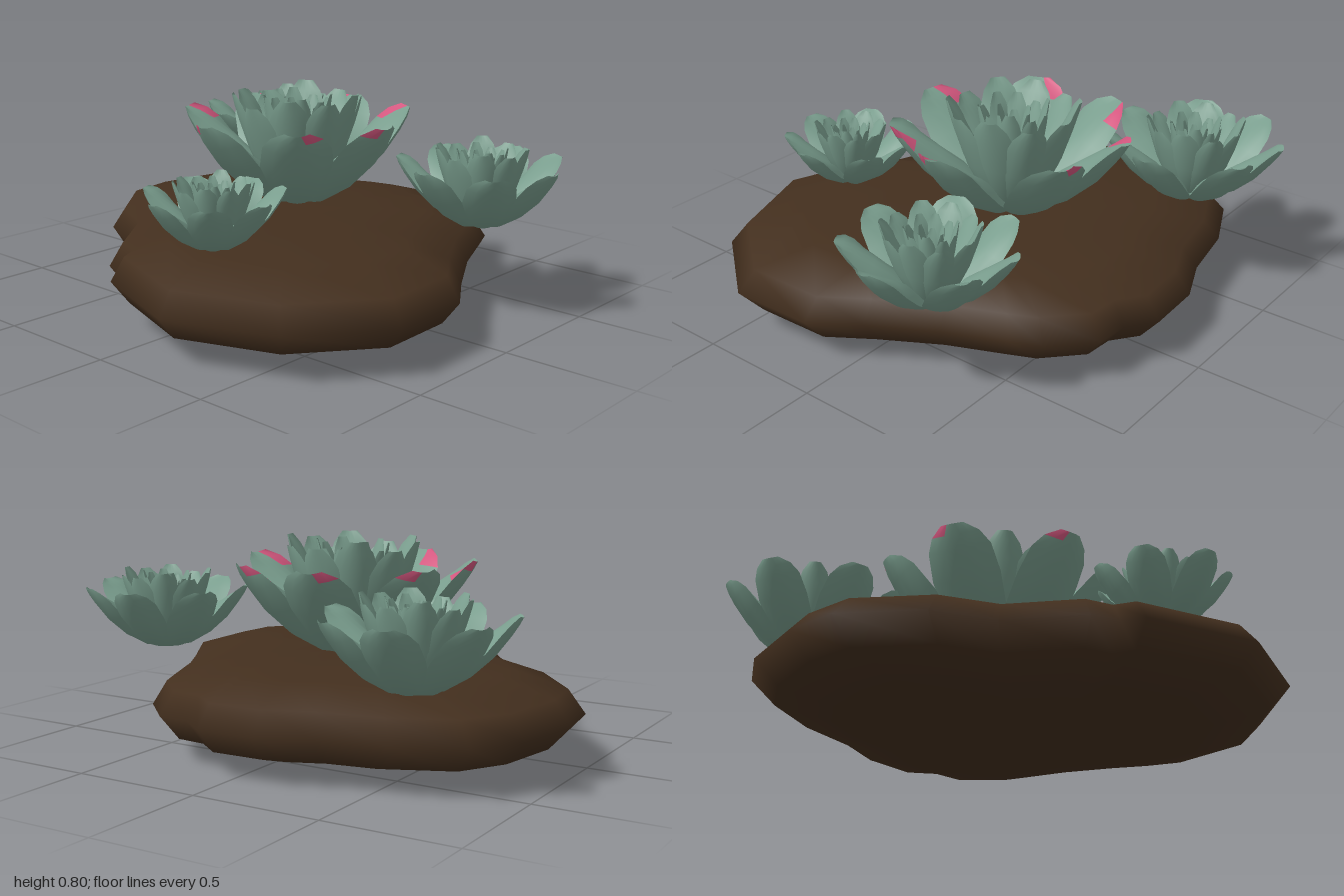
import * as THREE from 'three';

const leafGreen = new THREE.MeshStandardMaterial({ color: 0x7a9e8e });
leafGreen.name = 'leafGreen';
const tipPink = new THREE.MeshStandardMaterial({ color: 0xd4577f });
tipPink.name = 'tipPink';
const soilBrown = new THREE.MeshStandardMaterial({ color: 0x432f1e });
soilBrown.name = 'soilBrown';

// Leaf cross-sections from base to tip: shares of reach, height, half width and thickness
const SECTIONS = [
  [0.04, 0, 0.3, 0], [0.28, 0.06, 0.6, 0.5], [0.53, 0.25, 0.9, 0.82], [0.74, 0.5, 1, 0.72],
  [0.89, 0.76, 0.92, 0.45], [0.96, 0.9, 0.7, 0.22], [1, 1, 0.33, 0],
];
const COLS = 6;

function geometryFrom(positions, index) {
  const g = new THREE.BufferGeometry();
  g.setAttribute('position', new THREE.Float32BufferAttribute(positions, 3));
  g.setIndex(index);
  g.computeVertexNormals();
  return g;
}

// Thick, fleshy leaf: a steep rounded underside and a shallow domed upper face meeting at a sharp rim
function leafGeometry(reach, height, halfWidth, pinkSide = 0) {
  const positions = [], green = [], pink = [];
  const rows = SECTIONS.length;
  for (const top of [0, 1]) {
    const start = positions.length / 3;
    for (let i = 0; i < rows; i++) {
      const [fr, fy, fw, ft] = SECTIONS[i];
      const before = SECTIONS[Math.max(i - 1, 0)], after = SECTIONS[Math.min(i + 1, rows - 1)];
      const tx = (after[0] - before[0]) * reach, ty = (after[1] - before[1]) * height;
      const len = Math.hypot(tx, ty), w = halfWidth * fw;
      for (let j = 0; j <= COLS; j++) {
        const s = j / COLS * 2 - 1;
        const lift = 0.38 * w * s * s + top * ft * halfWidth * (1 - s * s);
        positions.push(fr * reach - ty / len * lift, fy * height + tx / len * lift, w * s);
      }
    }
    // The blush covers one corner of the tip
    const pinkRow = top ? rows - 3 : rows - 2;
    for (let i = 0; i < rows - 1; i++) {
      for (let j = 0; j < COLS; j++) {
        const a = start + i * (COLS + 1) + j, b = a + COLS + 1;
        const onSide = pinkSide * (j + 0.5 - COLS / 2) > 1;
        const list = i >= pinkRow && onSide ? pink : green;
        if (top) list.push(a, a + 1, b, b, a + 1, b + 1);
        else list.push(a, b, a + 1, b, b + 1, a + 1);
      }
    }
  }
  const g = geometryFrom(positions, [...green, ...pink]);
  g.addGroup(0, green.length, 0);
  if (pink.length) g.addGroup(green.length, pink.length, 1);
  return g;
}

const evenAngles = (count, offset) =>
  Array.from({ length: count }, (_, i) => offset + i * 360 / count);

// Leaf rings from the outside in
const RINGS = [
  { name: 'outerLeaf', angles: [3, 48, 97, 156, 206, 258, 301], reach: 0.475, height: 0.36, width: 0.14 },
  { name: 'middleLeaf', angles: evenAngles(10, 20), reach: 0.26, height: 0.43, width: 0.09 },
  { name: 'innerLeaf', angles: evenAngles(10, 5), reach: 0.14, height: 0.42, width: 0.05 },
  { name: 'heartLeaf', angles: evenAngles(6, 25), reach: 0.07, height: 0.4, width: 0.035 },
];
const PINK_SIDES = [1, -1, 1, 1, 1, -1, -1];

function rosette(name, x, y, z, scale, pinkTips = false) {
  const group = new THREE.Group();
  group.name = name;
  RINGS.forEach((ring, r) => {
    ring.angles.forEach((angle, i) => {
      const side = pinkTips && r === 0 ? PINK_SIDES[i] : 0;
      // Alternate the height a little so that the rings look natural
      const height = ring.height * (r === 0 ? 1 : 1 + 0.05 * Math.sin(i * 2.3));
      const leaf = new THREE.Mesh(
        leafGeometry(ring.reach, height, ring.width, side), [leafGreen, tipPink]);
      leaf.name = ring.name;
      leaf.rotation.y = -THREE.MathUtils.degToRad(angle);
      group.add(leaf);
    });
  });
  group.position.set(x, y, z);
  group.scale.setScalar(scale);
  return group;
}

// Soil mound: one outline (x, z) scaled at several levels
function soilMound() {
  const outline = [
    [-1, -0.16], [-0.97, 0.05], [-0.76, 0.3], [-0.54, 0.41], [-0.35, 0.66], [-0.24, 0.7],
    [-0.2, 0.78], [0.23, 0.93], [0.64, 0.78], [0.89, 0.46], [0.88, 0.12], [0.76, -0.06],
    [0.62, -0.3], [0.52, -0.53], [0.47, -0.64], [0.32, -0.78], [0.19, -0.79], [0.08, -0.87],
    [-0.15, -0.86], [-0.34, -0.78], [-0.6, -0.73], [-0.84, -0.62], [-0.95, -0.44],
  ];
  const levels = [
    [0, 0.001], [0.003, 0.4], [0.035, 0.7], [0.09, 0.91], [0.185, 1],
    [0.27, 0.93], [0.325, 0.7], [0.343, 0.4], [0.348, 0.001],
  ];
  const n = outline.length, positions = [], index = [];
  for (const [y, s] of levels) for (const [x, z] of outline) positions.push(x * s, y, z * s);
  for (let i = 0; i < levels.length - 1; i++) {
    for (let j = 0; j < n; j++) {
      const a = i * n + j, b = i * n + (j + 1) % n;
      index.push(a, b, a + n, b, b + n, a + n);
    }
  }
  const mesh = new THREE.Mesh(geometryFrom(positions, index), soilBrown);
  mesh.name = 'soilMound';
  return mesh;
}

export function createModel() {
  const model = new THREE.Group();
  model.name = 'succulentGarden';
  model.add(
    soilMound(),
    rosette('mainRosette', -0.07, 0.345, -0.09, 1, true),
    rosette('backRightRosette', -0.61, 0.335, -0.58, 0.745),
    rosette('backLeftRosette', 0.665, 0.335, -0.305, 0.69),
    rosette('frontRosette', 0.14, 0.335, 0.58, 0.565),
  );
  return model;
}
